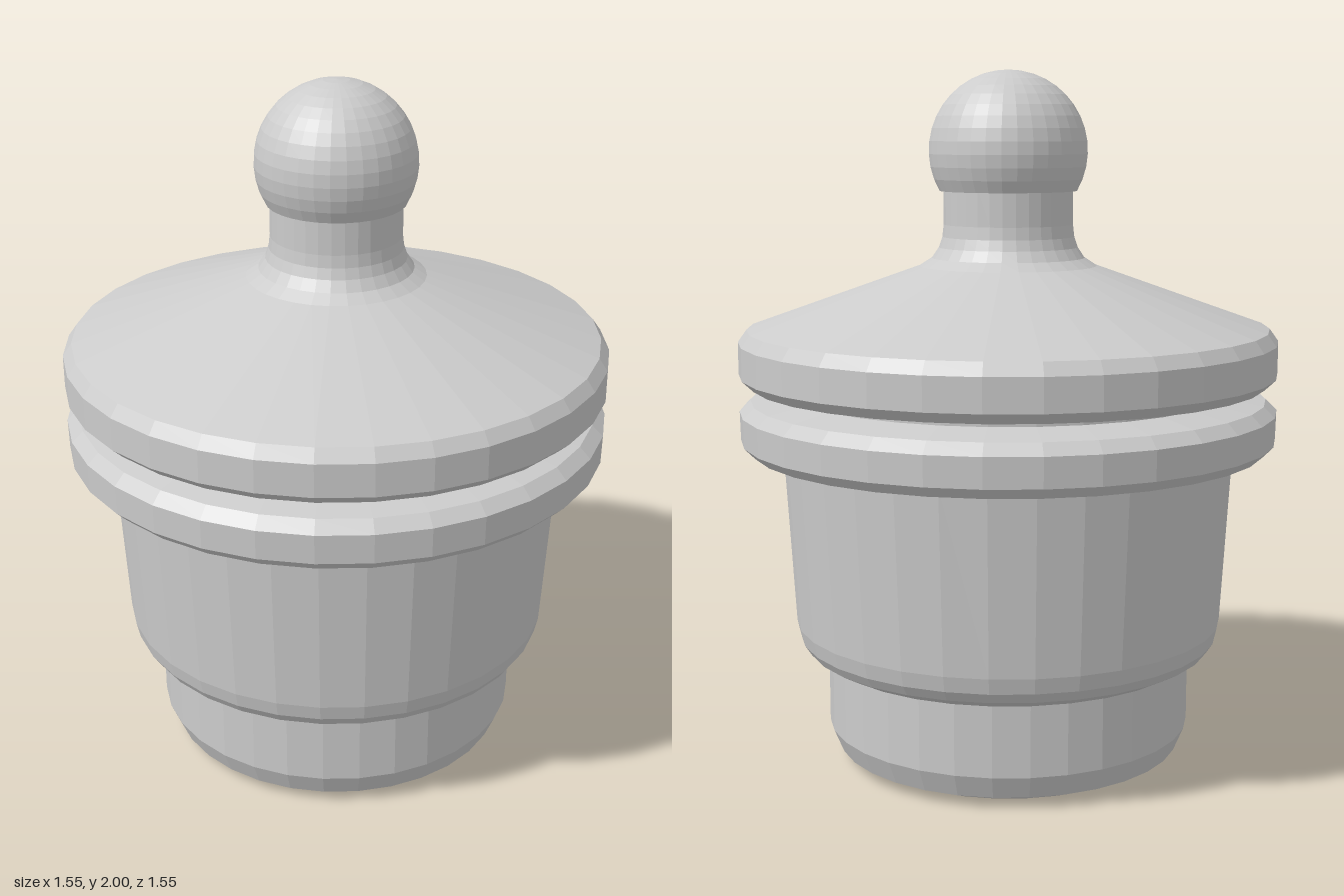
import * as THREE from 'three';

const SIDES = 32;

export function createModel() {
  const group = new THREE.Group();
  const material = new THREE.MeshStandardMaterial({ color: 0xcccccc, flatShading: true });

  // Turned part from [radius, height] pairs, listed bottom to top
  const turn = (name, profile) => {
    const points = profile.map(([r, y]) => new THREE.Vector2(r, y));
    const mesh = new THREE.Mesh(new THREE.LatheGeometry(points, SIDES), material);
    mesh.name = name;
    group.add(mesh);
  };

  // Foot with a bevelled bottom edge
  turn('foot', [[0, 0], [0.43, 0], [0.505, 0.033], [0.533, 0.1], [0.533, 0.31]]);

  // Tapered bowl with a rounded lower edge
  turn('bowl', [
    [0.5, 0.305], [0.55, 0.31], [0.595, 0.335], [0.615, 0.365], [0.625, 0.41], [0.655, 0.925],
  ]);

  // Bevelled rim around the bowl, closed across the top
  turn('rim', [
    [0.64, 0.92], [0.745, 0.922], [0.775, 0.952], [0.777, 1.035], [0.745, 1.066],
    [0.635, 1.085], [0, 1.085],
  ]);

  // Recessed collar between rim and lid
  turn('collar', [[0.633, 1.07], [0.633, 1.115]]);

  // Conical lid flowing through a fillet into the neck
  turn('lid', [
    [0, 1.098], [0.635, 1.098], [0.745, 1.112], [0.777, 1.142], [0.777, 1.235], [0.752, 1.27],
    [0.255, 1.447], [0.22, 1.47], [0.2, 1.5], [0.19, 1.53], [0.186, 1.565], [0.186, 1.67],
  ]);

  // Ball knob, cut flat where it meets the neck
  const radius = 0.227, centre = 2 - radius, rings = 13;
  const start = -Math.asin((centre - 1.66) / radius);
  const ball = [[0, 1.66]];
  for (let i = 0; i <= rings; i++) {
    const a = start + (Math.PI / 2 - start) * i / rings;
    ball.push([i === rings ? 0 : radius * Math.cos(a), centre + radius * Math.sin(a)]);
  }
  turn('knob', ball);

  return group;
}
